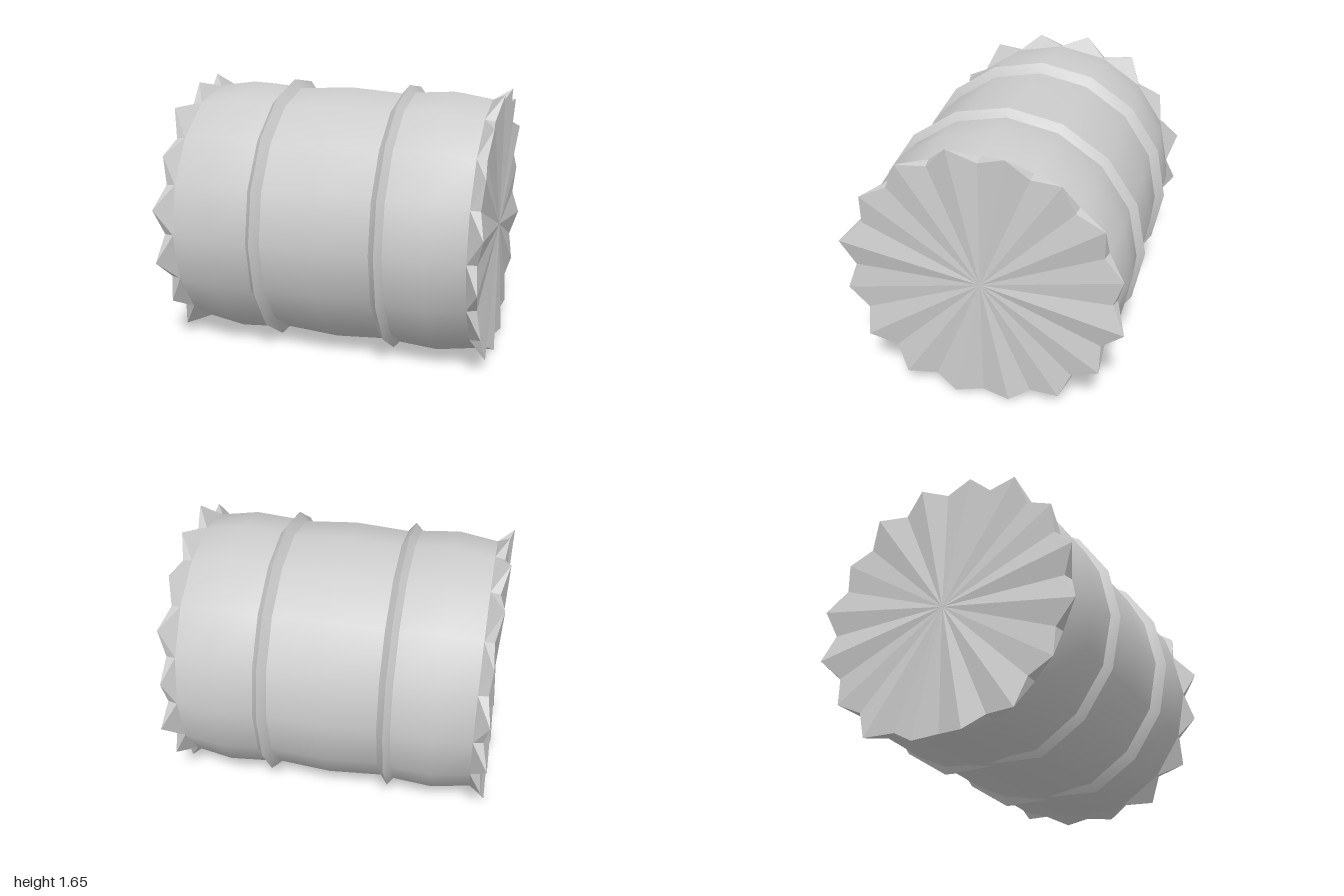
import * as THREE from 'three';
import { toCreasedNormals } from 'three/addons/utils/BufferGeometryUtils.js';

const SIDES = 16;
const STEP = (Math.PI * 2) / SIDES;
const CENTRE_Y = 0.79;

// Point on a ring around the x axis, flattened where it rests on the ground
const ringPoint = (x, radius, angle, floor = 0) => [
  x,
  Math.max(floor, CENTRE_Y + radius * Math.cos(angle)),
  radius * Math.sin(angle),
];

// Surface swept around the x axis from [x, radius] pairs
function barrel(profile, floor) {
  const positions = [];
  const index = [];
  for (const [x, r] of profile) {
    for (let i = 0; i < SIDES; i++) positions.push(...ringPoint(x, r, i * STEP, floor));
  }
  for (let k = 0; k < profile.length - 1; k++) {
    for (let i = 0; i < SIDES; i++) {
      const a = k * SIDES + i;
      const b = k * SIDES + ((i + 1) % SIDES);
      index.push(a, b, a + SIDES, b, b + SIDES, a + SIDES);
    }
  }
  const geometry = new THREE.BufferGeometry();
  geometry.setAttribute('position', new THREE.Float32BufferAttribute(positions, 3));
  geometry.setIndex(index);
  geometry.computeVertexNormals();
  return geometry;
}

function flatTriangles(points) {
  const geometry = new THREE.BufferGeometry();
  geometry.setAttribute('position', new THREE.Float32BufferAttribute(points.flat(), 3));
  geometry.computeVertexNormals();
  return geometry;
}

// Ragged tufts and the end disc they surround; side is +1 or -1 along x
function raggedEnd(side) {
  const tufts = [];
  const disc = [];
  const add = (list, a, b, c) => list.push(...(side > 0 ? [a, b, c] : [a, c, b]));
  const root = (i) => ringPoint(side * 0.9, 0.79, i * STEP, 0.02);
  const notch = (i) => ringPoint(side * 0.96, 0.775, i * STEP, 0.015);
  const tip = (i) => {
    const n = (i + SIDES) % SIDES;
    const wobble = Math.sin(n * 2.4 + side);
    const x = n % 4 === 3 ? 1 : 0.985 + 0.012 * wobble;
    return ringPoint(side * x, 0.86 + 0.012 * wobble, (n + 0.5) * STEP);
  };
  const centre = [side * 0.975, CENTRE_Y, 0];
  for (let i = 0; i < SIDES; i++) {
    add(tufts, root(i), root(i + 1), tip(i));
    add(tufts, root(i), tip(i), notch(i));
    add(tufts, root(i), notch(i), tip(i - 1));
    add(disc, centre, notch(i), tip(i));
    add(disc, centre, tip(i), notch(i + 1));
  }
  return { tufts: flatTriangles(tufts), disc: flatTriangles(disc) };
}

export function createModel() {
  const model = new THREE.Group();
  model.name = 'bale';
  const grey = new THREE.MeshStandardMaterial({ color: 0xcccccc });
  grey.name = 'light grey';

  const add = (name, geometry) => {
    const mesh = new THREE.Mesh(geometry, grey);
    mesh.name = name;
    model.add(mesh);
  };

  // Softly bulging roll between the straps
  add('body', barrel([
    [-0.9, 0.79], [-0.66, 0.828], [-0.42, 0.81], [-0.33, 0.8],
    [0, 0.822],
    [0.33, 0.8], [0.42, 0.81], [0.66, 0.828], [0.9, 0.79],
  ], 0.02));

  for (const side of [-1, 1]) {
    const label = side > 0 ? 'left' : 'right';

    // Strap with a sharp ridge
    const x = side * 0.38;
    const strap = barrel([[x - 0.05, 0.795], [x, 0.856], [x + 0.05, 0.795]], 0.005);
    add(label + 'Strap', toCreasedNormals(strap, 0.7));

    // Ragged rim and end face
    const end = raggedEnd(side);
    add(label + 'Tufts', end.tufts);
    add(label + 'EndFace', end.disc);
  }
  return model;
}
